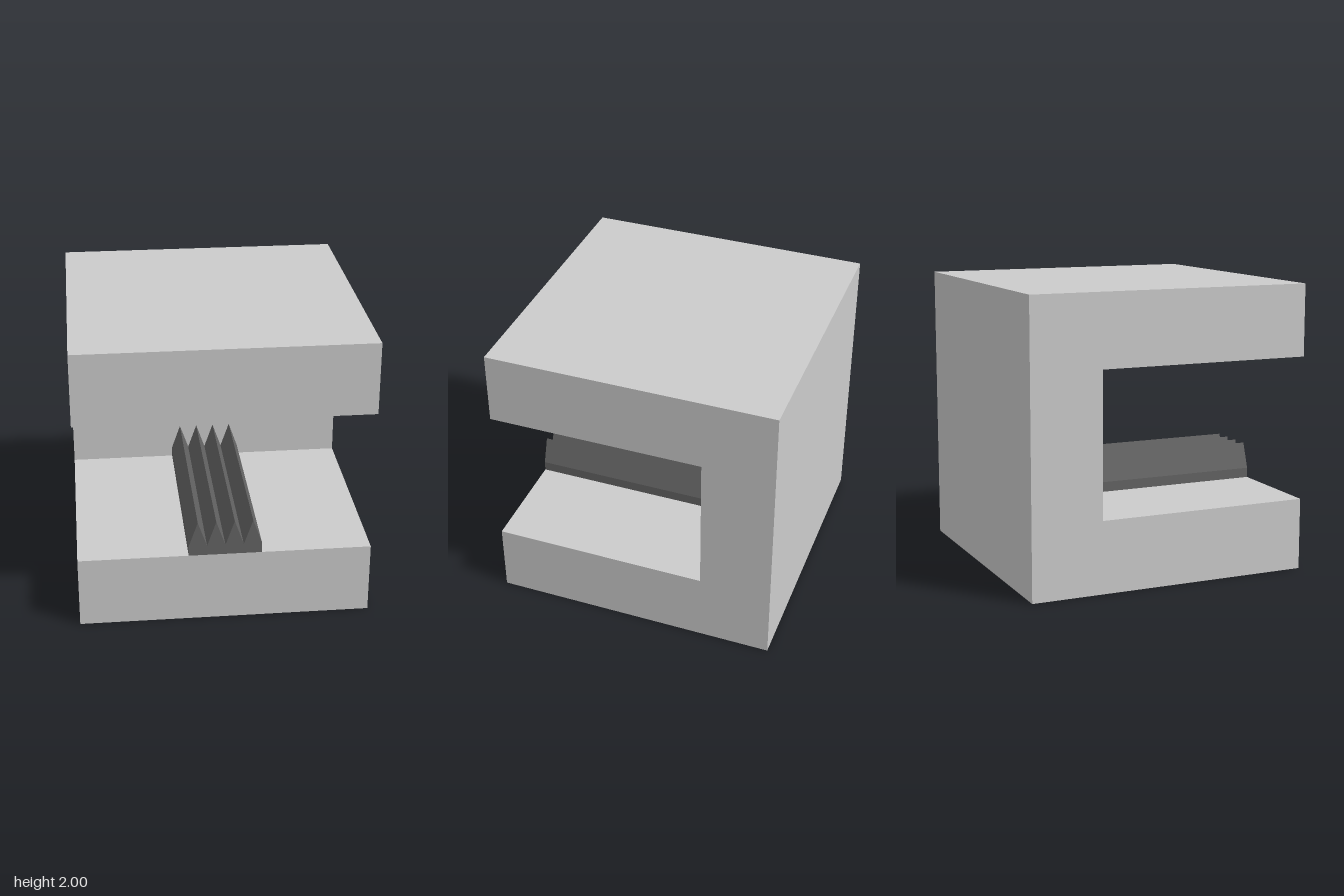
import * as THREE from 'three';

const grey = new THREE.MeshStandardMaterial({ color: 0xcccccc, flatShading: true });
const darkGrey = new THREE.MeshStandardMaterial({ color: 0x646464, flatShading: true });

function extrude(name, points, depth, material) {
  const shape = new THREE.Shape(points.map(([x, y]) => new THREE.Vector2(x, y)));
  const geometry = new THREE.ExtrudeGeometry(shape, { depth, bevelEnabled: false });
  const mesh = new THREE.Mesh(geometry, material);
  mesh.name = name;
  return mesh;
}

export function createModel() {
  const group = new THREE.Group();
  group.name = 'slottedBlock';

  // C-shaped block: side profile (z, y) swept across the full width
  const block = extrude('block', [
    [-1, 0], [1, 0], [1, 0.5], [-0.5, 0.5],
    [-0.5, 1.5], [1, 1.5], [1, 2], [-1, 2],
  ], 2, grey);
  block.geometry.translate(0, 0, -1).rotateY(-Math.PI / 2);
  group.add(block);

  // Ridged rail: row of equal teeth swept from the back wall to the front edge
  const teeth = 4, width = 0.5, base = 0.5, valley = 0.57, peak = 0.75;
  const profile = [[-width / 2, base], [width / 2, base]];
  for (let i = 0; i <= teeth * 2; i++) {
    profile.push([width / 2 - (i * width) / (teeth * 2), i % 2 ? peak : valley]);
  }
  const rail = extrude('ridgedRail', profile, 1.5, darkGrey);
  rail.geometry.translate(0, 0, -0.5);
  group.add(rail);

  return group;
}
